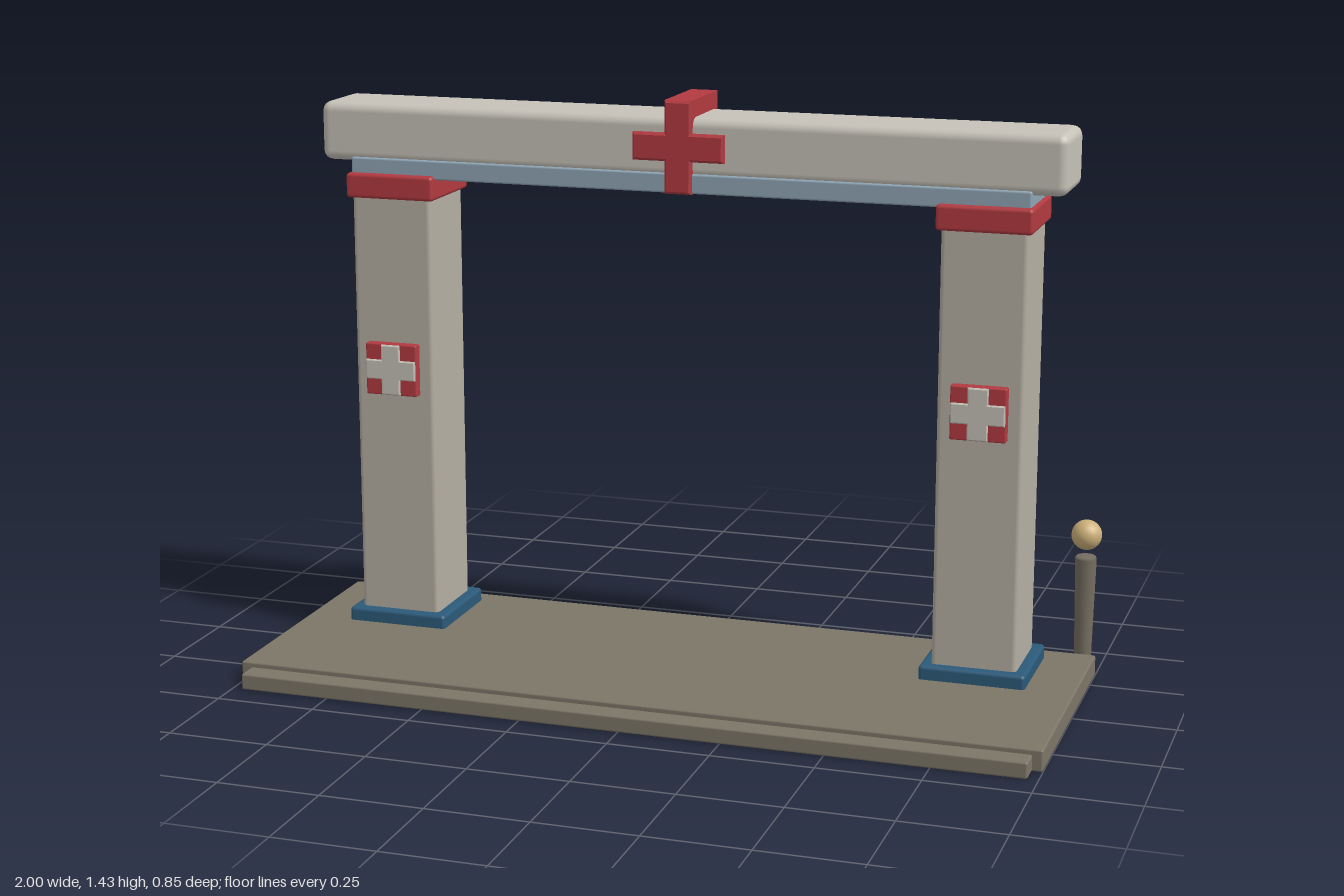
import * as THREE from 'three';
import { RoundedBoxGeometry } from 'three/addons/geometries/RoundedBoxGeometry.js';

const mat = (color) => new THREE.MeshStandardMaterial({ color });

export function createModel() {
  const model = new THREE.Group();
  model.name = 'gateway';
  const stone = mat(0xc6c2b8), pillar = mat(0xb5afa3), paving = mat(0x7d7668);
  const red = mat(0xb23a40), blue = mat(0x2c5a7a), steel = mat(0x8fa5b5);
  const postMat = mat(0x746d60), brass = mat(0xcdb07a);

  const add = (name, geometry, material, parent = model) => {
    const mesh = new THREE.Mesh(geometry, material);
    mesh.name = name;
    parent.add(mesh);
    return mesh;
  };
  // Softly bevelled box given by its [min, max] range on each axis
  const block = (name, x, y, z, material, r = 0.005, parent = model) => {
    const g = new RoundedBoxGeometry(x[1] - x[0], y[1] - y[0], z[1] - z[0], 2, r);
    g.translate((x[0] + x[1]) / 2, (y[0] + y[1]) / 2, (z[0] + z[1]) / 2);
    return add(name, g, material, parent);
  };
  // Plus-shaped solid: half width, half height, half bar thickness
  const plus = (w, h, t, depth, bevel) => {
    const b = bevel;
    w -= b; h -= b; t -= b;
    const s = new THREE.Shape([
      [t, -h], [t, -t], [w, -t], [w, t], [t, t], [t, h],
      [-t, h], [-t, t], [-w, t], [-w, -t], [-t, -t], [-t, -h],
    ].map(([x, y]) => new THREE.Vector2(x, y)));
    const g = new THREE.ExtrudeGeometry(s, {
      depth: depth - 2 * b, bevelThickness: b, bevelSize: b, bevelSegments: 1,
    });
    return g.translate(0, 0, b - depth / 2);
  };

  // Platform and front step
  block('platform', [-1, 1], [0, 0.053], [-0.327, 0.37], paving);
  block('frontStep', [-0.975, 0.975], [0, 0.04], [0.34, 0.424], paving);

  // Matching pillars and rear posts
  for (const side of [-1, 1]) {
    const column = new THREE.Group();
    column.name = side > 0 ? 'leftColumn' : 'rightColumn';
    column.position.x = side * 0.75;
    model.add(column);
    block('columnBase', [-0.131, 0.131], [0.02, 0.087], [-0.277, -0.015], blue, 0.009, column);
    block('columnShaft', [-0.105, 0.105], [0.06, 1.17], [-0.25, -0.04], pillar, 0.012, column);
    block('columnCap', [-0.116, 0.116], [1.155, 1.217], [-0.263, -0.027], red, 0.009, column);

    // Square plaque with a pale cross
    block('plaque', [-0.068, 0.068], [0.658, 0.79], [-0.045, -0.016], red, 0.004, column);
    add('plaqueCross', plus(0.066, 0.064, 0.025, 0.024, 0.003), stone, column)
      .position.set(0, 0.724, -0.022);

    // Tapered post topped by a ball
    const post = new THREE.Group();
    post.name = side > 0 ? 'leftPost' : 'rightPost';
    post.position.set(side * 0.957, 0, -0.387);
    model.add(post);
    const profile = [[0, 0], [0.02, 0], [0.021, 0.006], [0.027, 0.283], [0.024, 0.289], [0, 0.289]]
      .map(([r, y]) => new THREE.Vector2(r, y));
    add('postShaft', new THREE.LatheGeometry(profile, 16), postMat, post);
    add('postBall', new THREE.SphereGeometry(0.038, 20, 14), brass, post).position.y = 0.344;
  }

  // Lintel beam with a narrow strip below
  block('beam', [-0.94, 0.94], [1.243, 1.39], [-0.243, -0.05], stone, 0.024);
  block('beamStrip', [-0.857, 0.857], [1.207, 1.255], [-0.247, -0.045], steel);

  // Cross emblem passing through the beam from front to back
  add('beamCross', plus(0.115, 0.113, 0.034, 0.224, 0.006), red)
    .position.set(0, 1.319, -0.146);

  return model;
}
